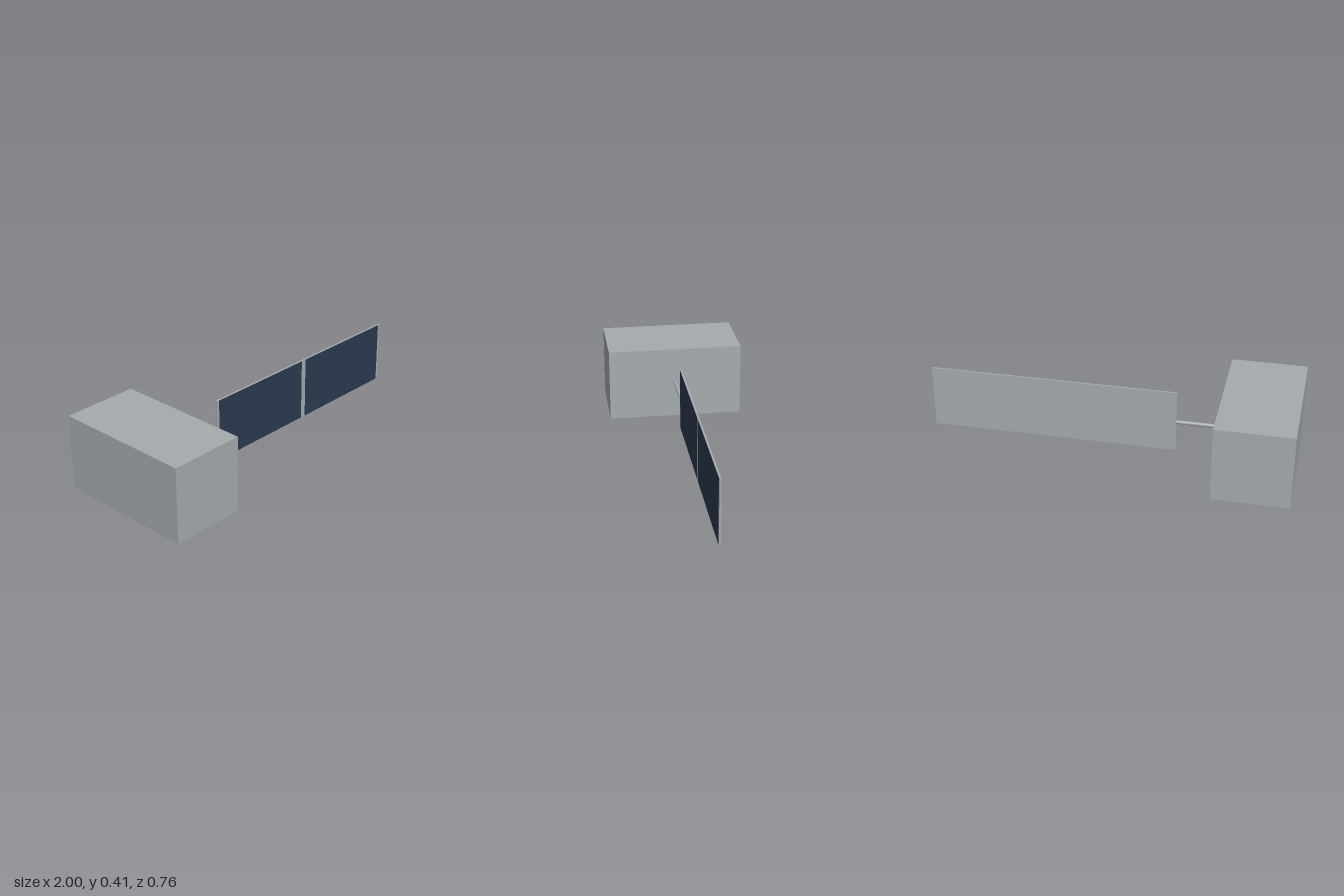
import * as THREE from 'three';

export function createModel() {
  const model = new THREE.Group();
  const grey = new THREE.MeshStandardMaterial({ color: 0xa5abae });
  grey.name = 'satellite grey';
  const navy = new THREE.MeshStandardMaterial({ color: 0x2b3a4f });
  navy.name = 'solar cell navy';

  function add(name, geometry, material, x, y, z) {
    const mesh = new THREE.Mesh(geometry, material);
    mesh.name = name;
    mesh.position.set(x, y, z);
    model.add(mesh);
    return mesh;
  }

  const midY = 0.206;

  // Main box body
  add('body', new THREE.BoxGeometry(0.41, 0.412, 0.762), grey, -0.795, midY, 0);

  // Boom joining the body to the panel
  const boom = add('boom', new THREE.CylinderGeometry(0.01, 0.01, 0.24, 24), grey, -0.471, midY, 0);
  boom.rotation.z = Math.PI / 2;

  // Panel backing board
  add('panel', new THREE.BoxGeometry(1.351, 0.349, 0.01), grey, 0.3245, 0.2075, 0);

  // Two solar cells on the front face
  for (const side of [-1, 1]) {
    add(side < 0 ? 'innerSolarCell' : 'outerSolarCell',
      new THREE.BoxGeometry(0.644, 0.345, 0.002), navy, 0.3245 + side * 0.338, 0.2075, 0.005);
  }

  return model;
}
